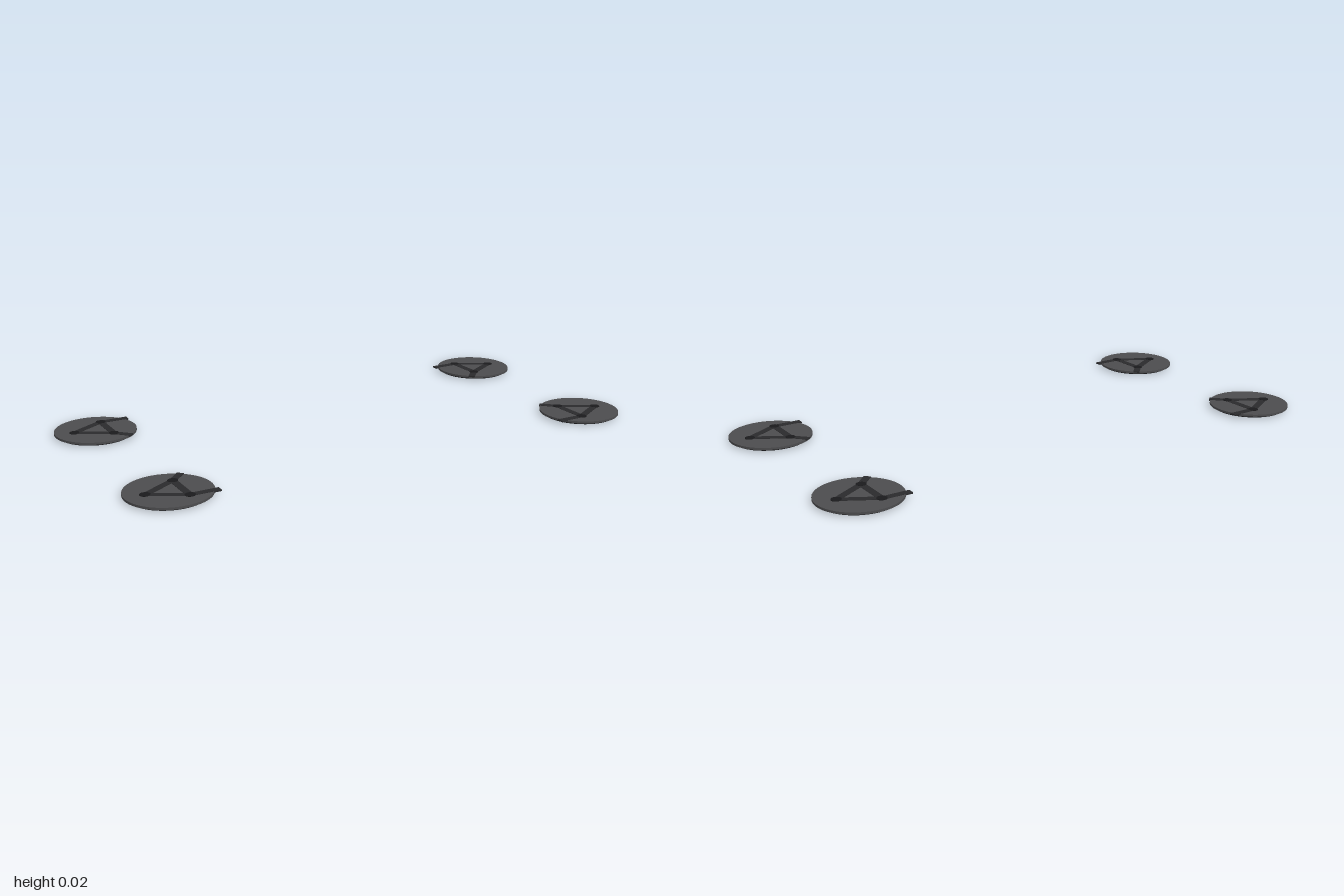
import * as THREE from 'three';

const material = (color) => new THREE.MeshStandardMaterial({ color });

export function createModel() {
  const model = new THREE.Group();
  const grey = material(0x4c4c4e);
  const dark = material(0x2a2a2c);
  const rubber = material(0x1a1a1c);

  const discGeo = new THREE.CylinderGeometry(0.15, 0.15, 0.008, 64);
  const baseGeo = new THREE.CylinderGeometry(0.136, 0.136, 0.008, 64);
  const boltGeo = new THREE.CylinderGeometry(0.018, 0.018, 0.008, 24);

  // Pad-local plan: sx and sz point from the middle of the model to the pad
  const bolts = [[0.08, 0], [-0.045, 0.072], [-0.045, -0.072]];
  const bars = [
    [bolts[0], bolts[1]],
    [bolts[1], bolts[2]],
    [bolts[2], bolts[0]],
    [bolts[1], [-0.15, 0.072]], // straight cable stub
    [bolts[2], [-0.094, -0.123]], // diagonal cable stub
  ];

  for (const sx of [1, -1]) {
    for (const sz of [1, -1]) {
      const pad = new THREE.Group();
      pad.name = `${sz > 0 ? 'front' : 'back'}${sx > 0 ? 'Left' : 'Right'}Pad`;
      pad.position.set(sx * 0.85, 0, sz * 0.35);
      model.add(pad);

      const add = (name, geometry, mat, x, y, z) => {
        const mesh = new THREE.Mesh(geometry, mat);
        mesh.name = name;
        mesh.position.set(x, y, z);
        pad.add(mesh);
        return mesh;
      };

      // Rubber foot under a wider plate
      add('base', baseGeo, rubber, 0, 0.004, 0);
      add('plate', discGeo, grey, 0, 0.0115, 0);

      // Triangle of bars and the two stubs leading off the plate
      bars.forEach(([a, b], i) => {
        const dx = sx * (b[0] - a[0]);
        const dz = sz * (b[1] - a[1]);
        const geo = new THREE.BoxGeometry(Math.hypot(dx, dz), 0.005, 0.026);
        const bar = add(i < 3 ? 'bar' : 'stub', geo, dark,
          sx * (a[0] + b[0]) / 2, 0.0142, sz * (a[1] + b[1]) / 2);
        bar.rotation.y = Math.atan2(-dz, dx);
      });

      // Round joints at the corners of the triangle
      for (const [x, z] of bolts) add('joint', boltGeo, rubber, sx * x, 0.0135, sz * z);
    }
  }
  return model;
}
